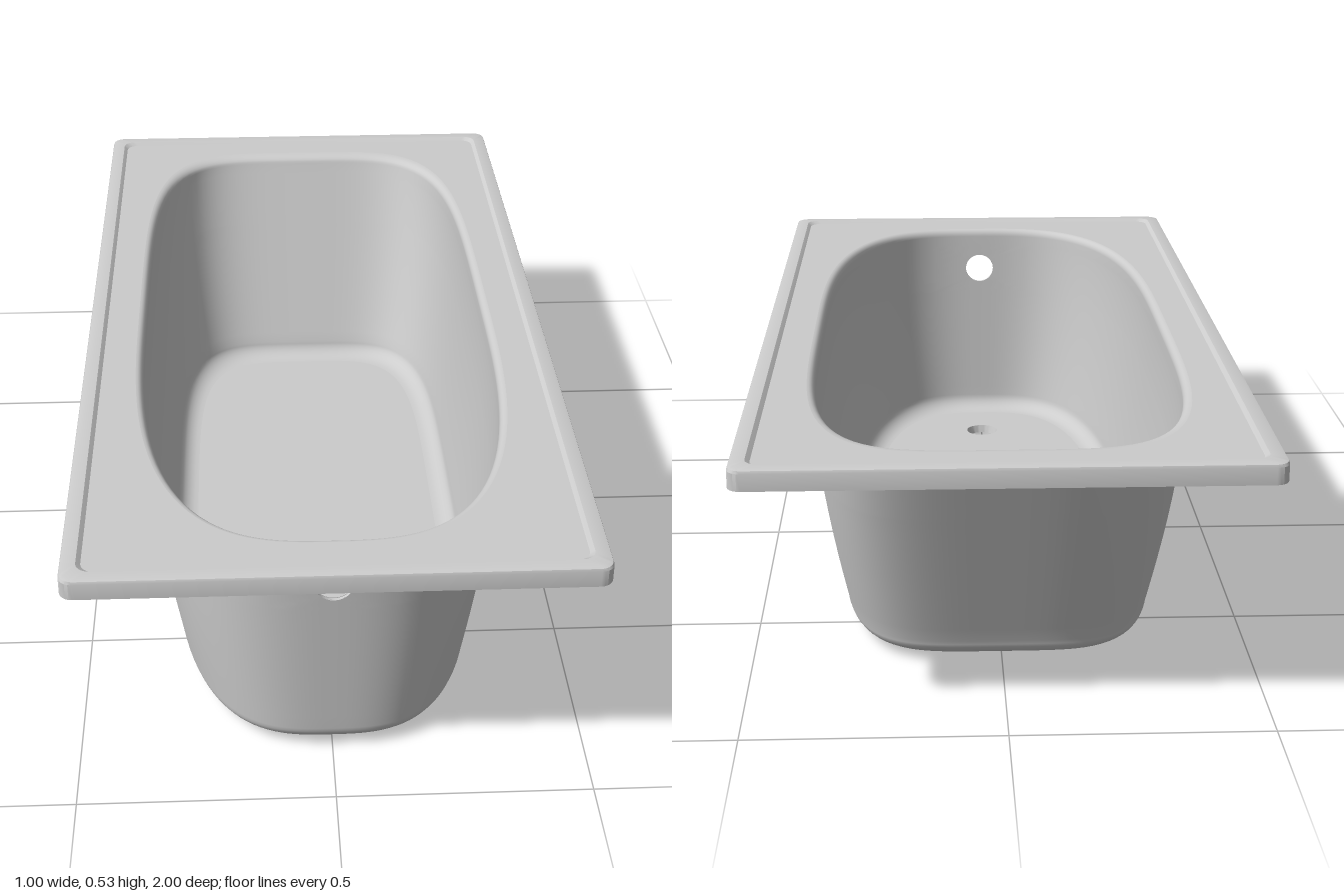
import * as THREE from 'three';
import { toCreasedNormals } from 'three/addons/utils/BufferGeometryUtils.js';

const COLS = 160, FRONT_N = 3, BACK_N = 4.4, SHEET = 0.007;
const DECK_TOP = 0.523, DECK_UNDER = 0.512, FLOOR = 0.012;
const OVERFLOW = { y: 0.417, r: 0.037 }, DRAIN = { z: 0.66, r: 0.04 };

// Half width (w), front length (f) and back length (b) of the basin at a height
function wallLevel(y, inset = 0) {
  const s = (y - 0.05) / 0.44;
  return {
    y,
    w: 0.328 + 0.057 * (1 - Math.pow(Math.max(0, 1 - s), 1.6)) - inset,
    f: 0.86 + 0.02 * s - inset,
    b: 0.705 + 0.165 * s - inset,
  };
}

// Egg-shaped horizontal section: rounder at the front, squarer at the back
function section({ y, w, f, b }) {
  return Array.from({ length: COLS }, (_, i) => {
    const a = (i / COLS) * Math.PI * 2, c = Math.cos(a), s = Math.sin(a);
    const n = s > 0 ? FRONT_N : BACK_N;
    const r = Math.pow(Math.abs(c) ** n + Math.abs(s) ** n, -1 / n);
    return new THREE.Vector3(w * r * c, y, (s > 0 ? f : b) * r * s);
  });
}

// Closed skin over a stack of rings; skip(row, col) leaves a cell open
function loft(rings, flip = false, skip = () => false) {
  const n = rings[0].length, index = [];
  for (let j = 0; j < rings.length - 1; j++) {
    for (let i = 0; i < n; i++) {
      if (skip(j, i)) continue;
      const a = j * n + i, b = j * n + ((i + 1) % n), c = a + n, d = b + n;
      if (flip) index.push(a, c, b, b, c, d);
      else index.push(a, b, c, b, d, c);
    }
  }
  const g = new THREE.BufferGeometry().setFromPoints(rings.flat());
  g.setIndex(index);
  g.computeVertexNormals();
  return g;
}

// Levels of one basin skin, from the deck down to the floor
function basinLevels(inner) {
  const inset = inner ? SHEET : 0, levels = [];
  if (inner) {
    const base = wallLevel(0.505, inset);
    for (let k = 6; k >= 0; k--) {
      const a = (k / 6) * Math.PI / 2, out = 1 - Math.cos(a);
      levels.push({ y: 0.505 + 0.018 * Math.sin(a), w: base.w + 0.016 * out,
        f: base.f + 0.014 * out, b: base.b + 0.03 * out });
    }
  } else {
    levels.push(wallLevel(DECK_UNDER), wallLevel(0.495));
  }
  const first = levels.length;
  for (let k = -8; k <= 8; k++) levels.push(wallLevel(OVERFLOW.y - k * 0.008, inset));
  for (const y of [0.31, 0.26, 0.21, 0.16, 0.12, 0.08]) levels.push(wallLevel(y, inset));
  const foot = wallLevel(0.05 + inset, inset);
  for (let k = 0; k <= 8; k++) {
    const a = (k / 8) * Math.PI / 2, d = 0.045 * (1 - Math.cos(a));
    levels.push({ y: foot.y - 0.038 * Math.sin(a), w: foot.w - d, f: foot.f - d, b: foot.b - d });
  }
  return { levels, holeRow: first + 8, inset };
}

// Basin skin whose grid is drawn in around the round overflow hole
function basinSkin(inner) {
  const { levels, holeRow, inset } = basinLevels(inner);
  const rings = levels.map(section), holeCol = COLS / 4;
  const source = rings.map((r) => r.map((p) => p.clone()));
  for (let j = -7; j <= 7; j++) {
    for (let i = -7; i <= 7; i++) {
      const k = Math.max(Math.abs(i), Math.abs(j));
      if (k < 4) continue;
      // matching point on the border of the patch, blended from the circle
      const jr = holeRow + (j * 8) / k, ic = holeCol + (i * 8) / k;
      const edge = source[Math.round(jr)][Math.round(ic)];
      const a = Math.atan2(-j, -i), t = (k - 4) / 4;
      const x = THREE.MathUtils.lerp(OVERFLOW.r * Math.cos(a), edge.x, t);
      const y = THREE.MathUtils.lerp(OVERFLOW.y + OVERFLOW.r * Math.sin(a), edge.y, t);
      const l = wallLevel(y, inset);
      const z = l.f * Math.pow(1 - Math.abs(x / l.w) ** FRONT_N, 1 / FRONT_N);
      rings[holeRow + j][holeCol + i].set(x, y, z);
    }
  }
  const skip = (j, i) => j >= holeRow - 4 && j < holeRow + 4 && i >= holeCol - 4 && i < holeCol + 4;
  return { geometry: loft(rings, inner, skip), top: levels[0], bottom: levels.at(-1) };
}

// Rounded rectangle for the rim
function rimRing(inset, y) {
  const r = 0.026, ring = [];
  [[1, 1], [-1, 1], [-1, -1], [1, -1]].forEach(([sx, sz], q) => {
    for (let k = 0; k <= 6; k++) {
      const a = (q + k / 6) * Math.PI / 2;
      ring.push(new THREE.Vector3(sx * (0.5 - inset - r) + r * Math.cos(a), y,
        sz * (1 - inset - r) + r * Math.sin(a)));
    }
  });
  return ring;
}

// Flat horizontal sheet with a hole, facing up or down
function flatSheet(outline, hole, y, up) {
  const s = up ? -1 : 1;
  const to2 = (pts) => pts.map((p) => new THREE.Vector2(p.x, s * p.z));
  const shape = new THREE.Shape(to2(outline));
  shape.holes.push(new THREE.Path(to2(hole)));
  return new THREE.ShapeGeometry(shape).rotateX(s * Math.PI / 2).translate(0, y, 0);
}

export function createModel() {
  const group = new THREE.Group();
  const enamel = new THREE.MeshStandardMaterial({ color: 0xcccccc, side: THREE.DoubleSide });
  enamel.name = 'grey enamel';
  const add = (name, geometry) => {
    const mesh = new THREE.Mesh(geometry, enamel);
    mesh.name = name;
    group.add(mesh);
    return mesh;
  };

  // Basin walls
  const outer = basinSkin(false), inner = basinSkin(true);
  add('basinOutside', outer.geometry);
  add('basinInside', inner.geometry);

  // Floor, pierced by the drain
  const drainHole = (r) => Array.from({ length: 40 }, (_, i) => {
    const a = (i / 40) * Math.PI * 2;
    return new THREE.Vector3(r * Math.cos(a), 0, DRAIN.z + r * Math.sin(a));
  });
  add('floorInside', flatSheet(section(inner.bottom), drainHole(DRAIN.r), inner.bottom.y, true));
  add('floorOutside', flatSheet(section(outer.bottom), drainHole(0.046), FLOOR, false));

  // Drain collar under the floor
  const collar = [[DRAIN.r, inner.bottom.y], [0.035, 0], [0.038, 0], [0.046, FLOOR]]
    .map(([r, y]) => new THREE.Vector2(r, y));
  add('drainCollar', toCreasedNormals(new THREE.LatheGeometry(collar, 40), 0.5))
    .position.z = DRAIN.z;

  // Edge of the overflow hole
  const overflow = new THREE.CylinderGeometry(OVERFLOW.r, OVERFLOW.r, SHEET, 32, 1, true);
  add('overflowEdge', overflow.rotateX(Math.PI / 2))
    .position.set(0, OVERFLOW.y, wallLevel(OVERFLOW.y).f - SHEET / 2);

  // Raised rim with a lip turned down around the hollow underside
  const profile = [[0.038, DECK_TOP], [0.03, 0.53], [0.007, 0.53], [0.002, 0.528], [0, 0.523],
    [0, 0.49], [0.01, 0.49], [0.01, DECK_UNDER]];
  add('rim', toCreasedNormals(loft(profile.map(([d, y]) => rimRing(d, y))), 0.5));

  // Deck between the rim and the basin
  add('deckTop', flatSheet(rimRing(0.038, 0), section(inner.top), DECK_TOP, true));
  add('deckUnderside', flatSheet(rimRing(0.01, 0), section(outer.top), DECK_UNDER, false));

  return group;
}
